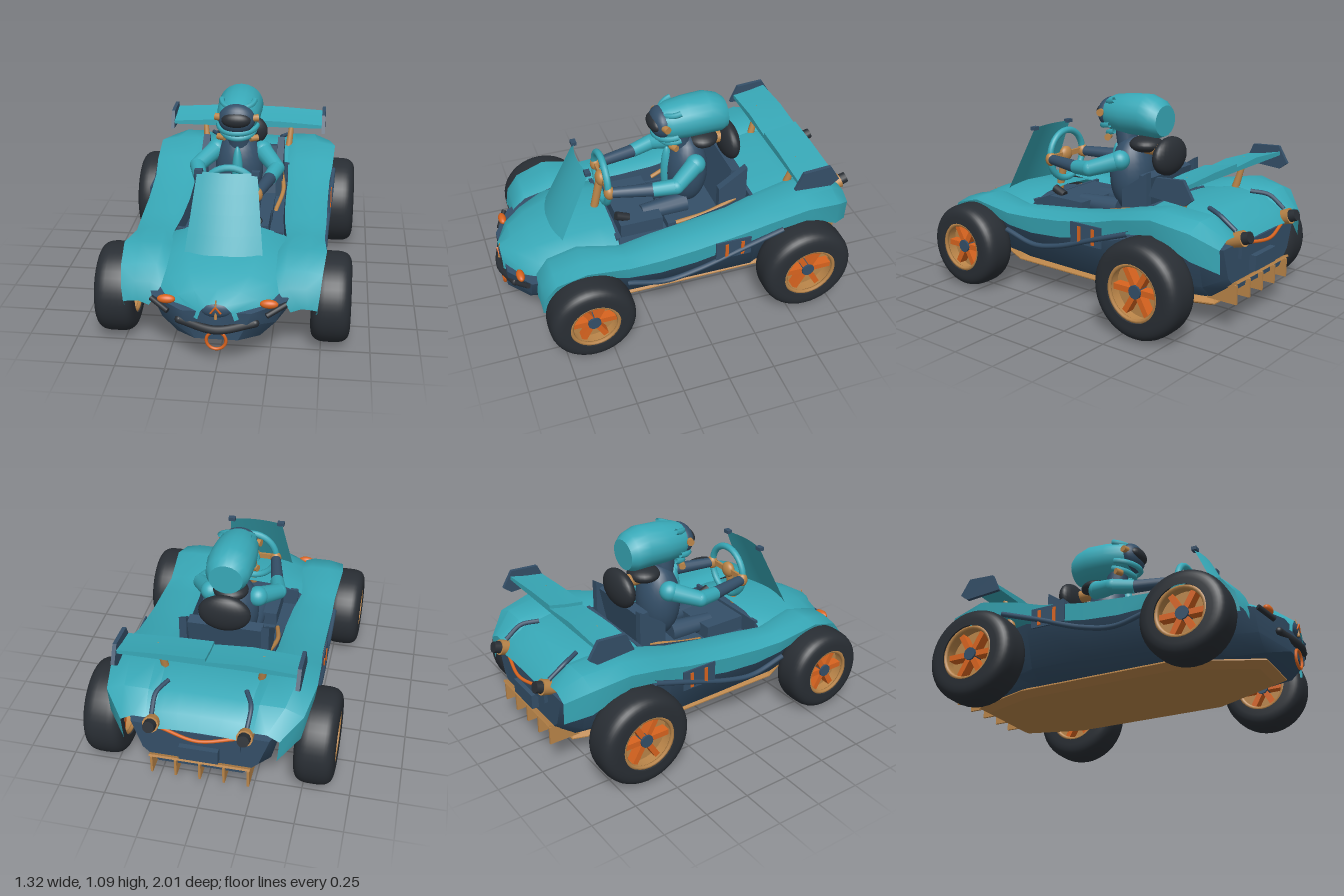
import * as THREE from 'three';
import { toCreasedNormals } from 'three/addons/utils/BufferGeometryUtils.js';

const paint = (name, color) => new THREE.MeshStandardMaterial({ name, color, side: THREE.DoubleSide });
const teal = paint('teal', 0x38a9b8), navy = paint('navy', 0x344f68), black = paint('rubber', 0x292e34);
const tan = paint('tan', 0xba8549), orange = paint('orange', 0xd9641f);
const V = (x, y, z) => new THREE.Vector3(x, y, z);
const lerp = THREE.MathUtils.lerp;

function mesh(name, geo, mat, x = 0, y = 0, z = 0) {
  const m = new THREE.Mesh(geo, mat);
  m.name = name;
  m.position.set(x, y, z);
  return m;
}
const box = (name, mat, w, h, d, x, y, z) => mesh(name, new THREE.BoxGeometry(w, h, d), mat, x, y, z);
function ball(name, mat, rx, ry, rz, pos) {
  const m = mesh(name, new THREE.SphereGeometry(1, 24, 16), mat, ...pos);
  m.scale.set(rx, ry, rz);
  return m;
}
const tube = (name, mat, r, ...pts) =>
  mesh(name, new THREE.TubeGeometry(new THREE.CatmullRomCurve3(pts.map(p => V(...p))), 32, r, 10), mat);

// Tapered rod between two points
function rod(name, mat, a, b, r1, r2 = r1) {
  const p = V(...a), q = V(...b), d = q.clone().sub(p);
  const m = mesh(name, new THREE.CylinderGeometry(r2, r1, d.length(), 14), mat);
  m.position.copy(p).add(q).multiplyScalar(0.5);
  m.quaternion.setFromUnitVectors(V(0, 1, 0), d.normalize());
  return m;
}
// Plate cut from a side outline of [z, y] points
function sidePlate(name, mat, thickness, x, outline) {
  const shape = new THREE.Shape(outline.map(([z, y]) => new THREE.Vector2(-z, y)));
  const m = mesh(name, new THREE.ExtrudeGeometry(shape, { depth: thickness, bevelEnabled: false }), mat, x);
  m.rotation.y = Math.PI / 2;
  return m;
}
// Skin through stations along z; rule turns a station into its outline of [x, y] points
function loft(name, mat, stations, rule, { mirror = false, cap = false } = {}) {
  const rings = stations.map(([z, ...dims]) => {
    const ring = rule(...dims).map(([x, y]) => [x, y, z]);
    if (mirror) ring.push(...ring.filter(p => p[0] > 0).reverse().map(p => [-p[0], p[1], z]));
    if (cap) ring.push(ring[0]);
    return ring;
  });
  if (cap) {
    const centre = r => {
      const ys = r.map(p => p[1]);
      return r.map(() => [0, (Math.min(...ys) + Math.max(...ys)) / 2, r[0][2]]);
    };
    rings.push(centre(rings[rings.length - 1]));
    rings.unshift(centre(rings[0]));
  }
  const n = rings[0].length, index = [];
  for (let i = 0; i + 1 < rings.length; i++) for (let j = 0; j + 1 < n; j++) {
    const a = i * n + j, b = a + n;
    index.push(a, b, a + 1, a + 1, b, b + 1);
  }
  const g = new THREE.BufferGeometry();
  g.setAttribute('position', new THREE.Float32BufferAttribute(rings.flat(2), 3));
  g.setIndex(index);
  return mesh(name, toCreasedNormals(g, 0.7), mat);
}
// Cross-section rules, counter-clockwise seen from the front
const hullRule = (w, bottom, top) => [[0, bottom], [w * 0.62, bottom], [w * 0.85, bottom + 0.08], [w, top], [0, top]];
const domeRule = drop => (w, y) => [[w, y - drop], [w * 0.83, y - drop * 0.5], [w * 0.5, y - drop * 0.12], [0, y]];
const fenderRule = (inner, y, outer, bottom) =>
  [[outer - 0.01, bottom], [outer, lerp(y, bottom, 0.22)], [lerp(inner, outer, 0.65), y], [inner + 0.05, y], [inner, y - 0.02]];
const wingRule = y => [[0.455, y - 0.04], [0.455, y - 0.02], [0.2, y - 0.004], [0, y], [0, y - 0.018]];
const helmetRule = (y, r) => Array.from({ length: 20 }, (_, i) => {
  const a = i * Math.PI / 10;
  return [r * Math.cos(a), y + r * 0.92 * Math.sin(a)];
});

// Wheel with its axle along x
function wheel(R, w, rim) {
  const h = w / 2, axle = new THREE.Group();
  axle.rotation.z = Math.PI / 2;
  const profile = Array.from({ length: 21 }, (_, i) => {
    const a = i / 20 * Math.PI, c = Math.cos(a);
    return new THREE.Vector2(rim + (R - rim) * Math.abs(Math.sin(a)) ** 0.6, -h * Math.sign(c) * Math.abs(c) ** 0.6);
  });
  axle.add(mesh('tyre', new THREE.LatheGeometry(profile, 40), black));
  axle.add(mesh('rimBarrel', new THREE.CylinderGeometry(rim, rim, w * 0.9, 32, 1, true), tan));
  axle.add(mesh('rimDisc', new THREE.CylinderGeometry(rim, rim, 0.03, 32), tan));
  axle.add(mesh('hub', new THREE.CylinderGeometry(0.035, 0.035, w * 0.75, 12), navy));
  for (const s of [-1, 1]) {
    const lip = mesh('rimLip', new THREE.TorusGeometry(rim - 0.008, 0.011, 6, 32), tan, 0, s * h * 0.85, 0);
    lip.rotation.x = Math.PI / 2;
    axle.add(lip);
  }
  for (let i = 0; i < 6; i++) {
    const arm = new THREE.Group();
    arm.rotation.y = i * Math.PI / 3;
    arm.add(box('spoke', orange, 0.03, w * 0.65, rim - 0.045, 0, 0, (rim + 0.015) / 2));
    axle.add(arm);
  }
  const g = new THREE.Group();
  g.add(axle);
  return g;
}

export function createModel() {
  const car = new THREE.Group();
  car.name = 'buggy';
  const add = (...m) => car.add(...m);
  const pair = (name, build) => [1, -1].forEach(s => {
    const g = new THREE.Group();
    g.name = (s > 0 ? 'left' : 'right') + name;
    g.scale.x = s;
    g.add(...build());
    add(g);
  });

  // Lower hull
  add(loft('hull', navy, [
    [0.96, 0.17, 0.16, 0.31], [0.86, 0.33, 0.135, 0.33], [0.7, 0.39, 0.13, 0.36], [0.38, 0.475, 0.12, 0.37], [0, 0.485, 0.12, 0.38],
    [-0.35, 0.49, 0.12, 0.43], [-0.5, 0.41, 0.13, 0.46], [-0.8, 0.4, 0.16, 0.47], [-0.92, 0.35, 0.22, 0.46],
  ], hullRule, { mirror: true, cap: true }));

  // Bevelled floor plate
  const half = [[0.12, 0.8], [0.3, 0.42], [0.3, -0.45], [0.2, -0.76]];
  const floor = new THREE.Shape([...half, ...half.map(([x, z]) => [-x, z]).reverse()].map(p => new THREE.Vector2(...p)));
  const plate = mesh('floorPlate', new THREE.ExtrudeGeometry(floor,
    { depth: 0.006, bevelThickness: 0.026, bevelSize: 0.05, bevelSegments: 1 }), tan, 0, 0.124, 0);
  plate.rotation.x = Math.PI / 2;
  add(plate);

  // Hood and rear deck
  add(loft('hood', teal, [[0.97, 0.09, 0.36], [0.9, 0.23, 0.4], [0.8, 0.3, 0.44], [0.65, 0.35, 0.485], [0.45, 0.35, 0.5], [0.37, 0.34, 0.5]],
    domeRule(0.09), { mirror: true }));
  add(loft('rearDeck', teal, [[-0.4, 0.27, 0.56], [-0.6, 0.26, 0.605], [-0.8, 0.24, 0.595], [-0.9, 0.23, 0.54], [-0.95, 0.2, 0.475]],
    domeRule(0.01), { mirror: true }));
  add(box('dashboard', navy, 0.56, 0.1, 0.02, 0, 0.42, 0.37), box('cockpitBulkhead', navy, 0.54, 0.18, 0.02, 0, 0.47, -0.4));

  // Side pods flowing into front and rear fenders
  pair('Side', () => [
    loft('fenderAndPod', teal, [
      [0.84, 0.35, 0.28, 0.48, 0.25], [0.825, 0.29, 0.38, 0.49, 0.25], [0.76, 0.27, 0.45, 0.5, 0.37], [0.6, 0.27, 0.49, 0.515, 0.45],
      [0.37, 0.3, 0.46, 0.5, 0.37], [0.2, 0.28, 0.475, 0.505, 0.36], [0, 0.27, 0.495, 0.505, 0.375], [-0.25, 0.27, 0.535, 0.51, 0.425],
      [-0.4, 0.26, 0.575, 0.525, 0.48], [-0.62, 0.25, 0.62, 0.535, 0.52], [-0.82, 0.23, 0.6, 0.5, 0.42], [-0.93, 0.22, 0.51, 0.4, 0.35],
    ], fenderRule),
    loft('cockpitWall', navy, [[0.37, 0.3, 0.44], [0, 0.27, 0.475], [-0.4, 0.26, 0.555]], (x, y) => [[x, y], [x - 0.01, 0.36]]),
    tube('sideRail', navy, 0.014, [0.5, 0.345, 0.38], [0.5, 0.3, 0.18], [0.505, 0.33, 0], [0.52, 0.42, -0.25], [0.53, 0.5, -0.48]),
    box('sidePanel', navy, 0.009, 0.11, 0.2, 0.516, 0.435, -0.2),
    ...[-0.16, -0.25].map(z => box('panelStripe', orange, 0.006, 0.085, 0.018, 0.523, 0.432, z)),
    tube('cockpitTrim', tan, 0.012, [0.22, 0.44, 0.02], [0.25, 0.49, -0.15], [0.23, 0.53, -0.32]),
  ]);

  // Wheels
  const addWheel = (name, s, R, w, rim, x, z) => {
    const g = wheel(R, w, rim);
    g.name = name;
    g.position.set(s * x, R, z);
    add(g, rod('axle', tan, [s * 0.3, R, z], [s * x, R, z], 0.014));
  };
  for (const s of [-1, 1]) {
    addWheel('frontWheel', s, 0.232, 0.2, 0.135, 0.545, 0.603);
    addWheel('rearWheel', s, 0.256, 0.21, 0.15, 0.555, -0.6);
  }

  // Front lights, bumper bars, tow ring and nose spike
  pair('Front', () => [
    ball('headlight', orange, 0.045, 0.022, 0.022, [0.25, 0.337, 0.905]),
    rod('bumperBar', black, [0.24, 0.285, 0.93], [0.33, 0.325, 0.88], 0.014),
    ball('bumperEnd', black, 0.021, 0.021, 0.021, [0.185, 0.243, 0.93]),
    box('windshieldClip', navy, 0.04, 0.02, 0.03, 0.145, 0.84, 0.485),
    rod('noseSpikeArm', orange, [0, 0.345, 0.98], [0.025, 0.31, 0.975], 0.005),
  ]);
  add(tube('bumper', black, 0.021, [-0.185, 0.243, 0.93], [0, 0.222, 0.978], [0.185, 0.243, 0.93]));
  add(mesh('towRing', new THREE.TorusGeometry(0.048, 0.008, 8, 28), orange, 0, 0.157, 0.965));
  add(ball('noseRecess', navy, 0.077, 0.042, 0.028, [0, 0.32, 0.95]));
  add(rod('noseSpike', tan, [0, 0.28, 0.975], [0, 0.375, 0.965], 0.008, 0.003));

  // Windshield: a plane leaned back, narrowed and bowed
  const pane = new THREE.PlaneGeometry(2, 1, 8, 4), pos = pane.attributes.position;
  for (let i = 0; i < pos.count; i++) {
    const t = pos.getX(i), v = pos.getY(i) + 0.5;
    pos.setXYZ(i, t * lerp(0.197, 0.152, v), lerp(0.465, 0.84, v), lerp(0.695, 0.505, v) - t * t * lerp(0.04, 0.025, v));
  }
  pane.computeVertexNormals();
  add(mesh('windshield', pane, teal));

  // Rear wing, struts, exhausts and deck seams
  add(loft('wingBlade', teal, [[-0.58, 0.76], [-0.68, 0.775], [-0.77, 0.795]], wingRule, { mirror: true, cap: true }));
  pair('Rear', () => [
    sidePlate('wingEndPlate', navy, 0.02, 0.45, [[-0.56, 0.695], [-0.605, 0.795], [-0.76, 0.805], [-0.815, 0.715], [-0.77, 0.68]]),
    rod('wingStrut', tan, [0.25, 0.57, -0.61], [0.27, 0.76, -0.66], 0.022, 0.012),
    rod('exhaustPipe', tan, [0.235, 0.47, -0.88], [0.235, 0.5, -0.965], 0.036, 0.042),
    rod('exhaustTip', black, [0.235, 0.495, -0.95], [0.235, 0.512, -1], 0.034, 0.03),
    tube('deckSeam', navy, 0.012, [0.2, 0.605, -0.74], [0.24, 0.59, -0.83], [0.24, 0.53, -0.92]),
  ]);

  // Tail: grille, stripe, plate and finned diffuser
  add(box('tailGrille', navy, 0.42, 0.08, 0.03, 0, 0.42, -0.925), box('tailPlate', navy, 0.2, 0.08, 0.04, 0, 0.33, -0.938));
  add(tube('tailStripe', orange, 0.009, [-0.19, 0.46, -0.935], [0, 0.44, -0.97], [0.19, 0.46, -0.935]));
  const diffuser = box('diffuserPanel', tan, 0.52, 0.012, 0.24, 0, 0.22, -0.84);
  diffuser.rotation.x = 0.45;
  add(diffuser);
  for (let i = -2; i <= 2; i++) add(box('diffuserFin', tan, 0.012, 0.1, 0.17, i * 0.125, 0.205, -0.86));

  // Seat and padded headrest
  const seatBack = box('seatBack', navy, 0.4, 0.34, 0.06, 0, 0.53, -0.3);
  seatBack.rotation.x = -0.2;
  add(seatBack, box('seatBase', navy, 0.4, 0.05, 0.36, 0, 0.4, -0.12), box('footwell', navy, 0.4, 0.08, 0.24, 0, 0.44, 0.21));
  pair('SeatSide', () => [sidePlate('seatWing', navy, 0.04, 0.2, [[-0.22, 0.42], [-0.22, 0.62], [-0.38, 0.73], [-0.38, 0.42]])]);
  add(ball('headrest', black, 0.14, 0.105, 0.055, [0, 0.775, -0.355]));
  add(rod('headrestPost', tan, [0, 0.8, -0.12], [0, 0.8, -0.33], 0.035));

  // Driver
  add(ball('torso', navy, 0.135, 0.215, 0.12, [0, 0.64, -0.11]), ball('chestStripe', teal, 0.03, 0.16, 0.035, [0, 0.64, 0]));
  add(ball('collar', black, 0.095, 0.045, 0.09, [0, 0.82, -0.2]), rod('neck', navy, [0, 0.78, -0.08], [0, 0.9, -0.06], 0.06));
  const shoulder = [0.13, 0.74, -0.12], elbow = [0.22, 0.69, 0.02], cuff = [0.19, 0.675, 0.14], hand = [0.14, 0.675, 0.37];
  const hip = [0.07, 0.45, -0.08], knee = [0.09, 0.45, 0.18];
  pair('Limbs', () => [
    ball('shoulder', teal, 0.055, 0.055, 0.055, shoulder),
    rod('upperArm', teal, shoulder, elbow, 0.052, 0.043),
    ball('elbow', teal, 0.043, 0.043, 0.043, elbow),
    rod('sleeve', teal, elbow, cuff, 0.043, 0.038),
    rod('forearm', navy, cuff, hand, 0.036, 0.028),
    ball('hand', tan, 0.032, 0.04, 0.03, hand),
    rod('thigh', navy, hip, knee, 0.06, 0.045),
    rod('collarPin', tan, [0.07, 0.85, 0], [0.11, 0.85, -0.02], 0.018),
    rod('visorKnob', tan, [0.085, 0.98, 0.04], [0.116, 0.98, 0.03], 0.02),
  ]);

  // Helmet with flattened tail, visor, peak and chin guards
  add(loft('helmet', teal, [[0.05, 0.97, 0.085], [0, 0.97, 0.11], [-0.1, 0.975, 0.122], [-0.22, 0.98, 0.124], [-0.29, 0.968, 0.113],
    [-0.325, 0.96, 0.09]], helmetRule, { cap: true }));
  add(ball('visorFrame', navy, 0.1, 0.085, 0.062, [0, 0.97, 0.035]), ball('visor', black, 0.08, 0.044, 0.04, [0, 0.975, 0.07]));
  const band = (name, r, y, z, tilt) => {
    const m = mesh(name, new THREE.TorusGeometry(r, 0.016, 6, 20, Math.PI), teal, 0, y, z);
    m.rotation.x = Math.PI / 2 + tilt;
    return m;
  };
  add(band('helmetPeak', 0.09, 1.055, -0.05, 0.3), band('chinGuard', 0.105, 0.92, -0.03, 0.2), band('lowerChinGuard', 0.09, 0.885, -0.05, 0.3));

  // Steering wheel, column and shifter
  add(mesh('steeringWheel', new THREE.TorusGeometry(0.14, 0.019, 10, 36), teal, 0, 0.68, 0.375));
  add(box('steeringSpoke', tan, 0.26, 0.03, 0.015, 0, 0.68, 0.375), ball('steeringHub', tan, 0.045, 0.045, 0.03, [0, 0.68, 0.38]));
  add(rod('steeringColumn', tan, [0, 0.67, 0.385], [0, 0.46, 0.43], 0.022));
  add(rod('shifter', black, [0.14, 0.48, 0.27], [0.14, 0.51, 0.34], 0.024));
  return car;
}
